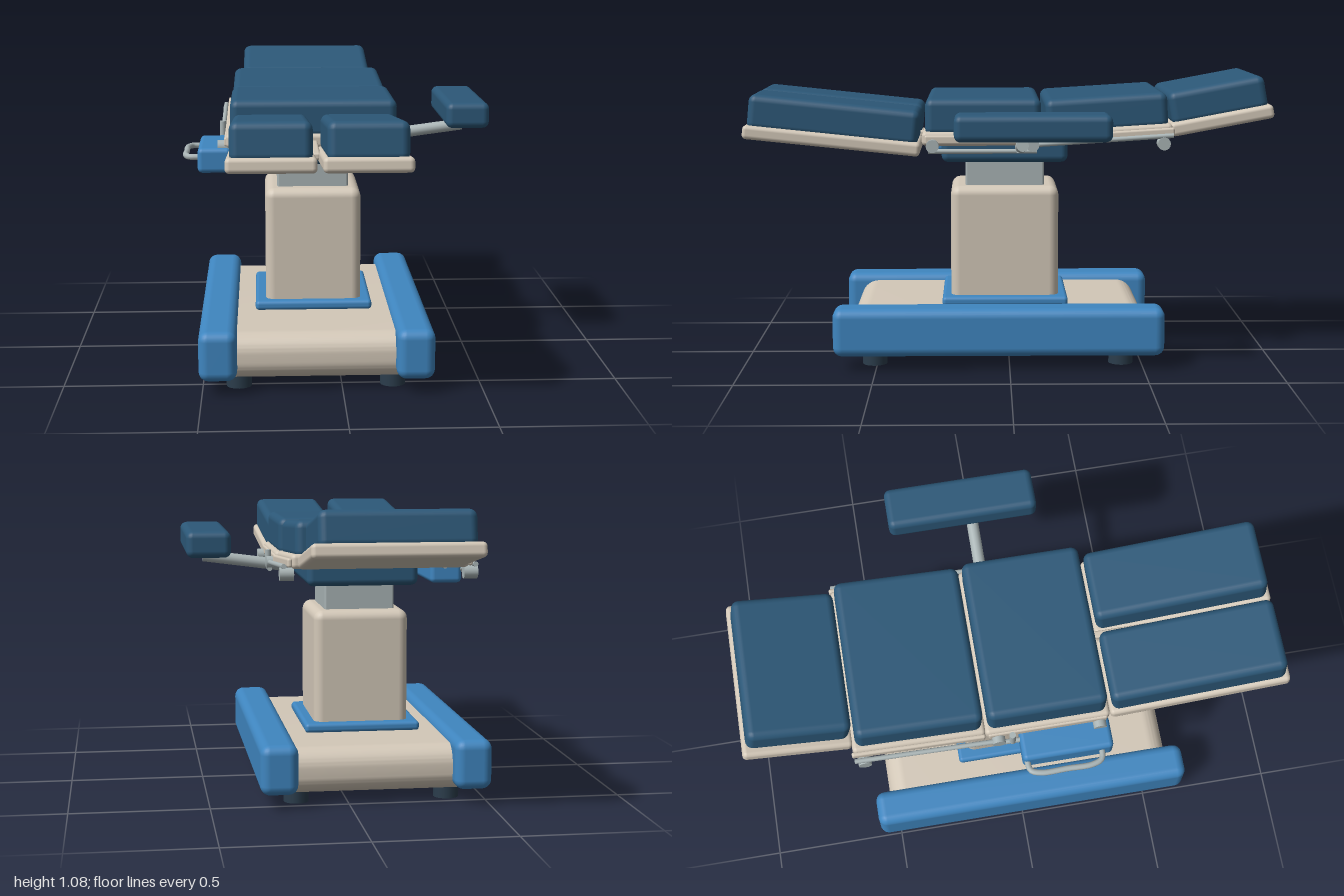
import * as THREE from 'three';
import { RoundedBoxGeometry } from 'three/addons/geometries/RoundedBoxGeometry.js';
import { toCreasedNormals } from 'three/addons/utils/BufferGeometryUtils.js';

const mat = (name, color) => new THREE.MeshStandardMaterial({ name, color });
const navy = mat('navy upholstery', 0x2c5878);
const blue = mat('blue trim', 0x3f86c0);
const cream = mat('cream panels', 0xd3c8b8);
const steel = mat('steel grey', 0xa9b4b5);
const dark = mat('dark rubber', 0x2b3d4c);

const CX = -0.093; // centre plane of the table

function add(parent, name, geometry, material) {
  const mesh = new THREE.Mesh(geometry, material);
  mesh.name = name;
  parent.add(mesh);
  return mesh;
}

// Rounded box given by its extents
function box(parent, name, material, [x0, x1], [y0, y1], [z0, z1], r = 0.02) {
  const geo = new RoundedBoxGeometry(x1 - x0, y1 - y0, z1 - z0, 3, r);
  const mesh = add(parent, name, geo, material);
  mesh.position.set((x0 + x1) / 2, (y0 + y1) / 2, (z0 + z1) / 2);
  return mesh;
}

// Straight round bar between two points
function rod(parent, name, material, a, b, r) {
  const from = new THREE.Vector3(...a), to = new THREE.Vector3(...b);
  const dir = to.clone().sub(from);
  const mesh = add(parent, name, new THREE.CylinderGeometry(r, r, dir.length(), 16), material);
  mesh.position.copy(from).add(to).multiplyScalar(0.5);
  mesh.quaternion.setFromUnitVectors(new THREE.Vector3(0, 1, 0), dir.normalize());
  return mesh;
}

// Padded section: cream tray with a cushion, its underside running from (za, ya) to (zb, yb)
function section(parent, name, [x0, x1], [za, ya], [zb, yb], inset, height = 0.168) {
  const group = new THREE.Group();
  group.name = name;
  group.position.set((x0 + x1) / 2, (ya + yb) / 2, (za + zb) / 2);
  group.rotation.x = -Math.atan2(yb - ya, zb - za);
  const w = (x1 - x0) / 2, l = Math.hypot(zb - za, yb - ya) / 2;
  box(group, 'tray', cream, [-w, w], [0, 0.052], [-l, l], 0.016);
  box(group, 'cushion', navy, [inset - w, w - inset], [0.035, height], [0.012 - l, l - 0.012], 0.028);
  parent.add(group);
}

export function createModel() {
  const model = new THREE.Group();
  model.name = 'operatingTable';

  // Base: body with rounded ends between two side rails
  const z0 = -0.52, z1 = 0.6, y0 = 0.04, y1 = 0.207, r = 0.07;
  const profile = new THREE.Shape();
  profile.absarc(z1 - r, y0 + r, r, -Math.PI / 2, 0);
  profile.absarc(z1 - r, y1 - r, r, 0, Math.PI / 2);
  profile.absarc(z0 + r, y1 - r, r, Math.PI / 2, Math.PI);
  profile.absarc(z0 + r, y0 + r, r, Math.PI, Math.PI * 1.5);
  const body = new THREE.ExtrudeGeometry(profile, { depth: 0.62, bevelEnabled: false, curveSegments: 8 });
  body.translate(0, 0, -0.31);
  body.rotateY(-Math.PI / 2);
  add(model, 'baseBody', toCreasedNormals(body, 0.6), cream).position.x = CX;
  for (const side of [-1, 1]) {
    const x = CX + side * 0.35;
    box(model, 'baseRail', blue, [x - 0.068, x + 0.068], [0.053, 0.235], [-0.577, 0.659], 0.035);
    for (const z of [-0.423, 0.51]) {
      rod(model, 'caster', dark, [CX + side * 0.277, 0, z], [CX + side * 0.277, 0.06, z], 0.046);
    }
  }

  // Lifting column
  box(model, 'columnSkirt', blue, [-0.31, 0.125], [0.205, 0.241], [-0.225, 0.255], 0.014);
  box(model, 'columnCover', cream, [-0.271, 0.086], [0.18, 0.662], [-0.19, 0.222], 0.035);
  box(model, 'columnShaft', steel, [-0.225, 0.04], [0.6, 0.8], [-0.135, 0.165], 0.008);
  box(model, 'columnHead', navy, [-0.302, 0.116], [0.757, 0.85], [-0.222, 0.255], 0.025);

  // Padded sections, foot to head
  section(model, 'leftLeg', [-0.084, 0.212], [0.335, 0.789], [0.993, 0.858], 0.014);
  section(model, 'rightLeg', [-0.4, -0.102], [0.335, 0.789], [0.993, 0.858], 0.014);
  section(model, 'seat', [-0.412, 0.227], [-0.13, 0.832], [0.325, 0.832], 0.016, 0.174);
  section(model, 'back', [-0.408, 0.218], [-0.608, 0.862], [-0.13, 0.832], 0.016);
  section(model, 'head', [-0.382, 0.196], [-0.99, 0.932], [-0.608, 0.86], 0.026, 0.163);
  box(model, 'legHinge', cream, [-0.107, -0.079], [0.835, 0.86], [0.3, 0.6], 0.008);

  // Accessory rails on both sides with rounded clamps
  for (const side of [-1, 1]) {
    const x = CX + side * 0.337, inner = CX + side * 0.3;
    rod(model, 'seatRail', steel, [x, 0.815, -0.1], [x, 0.815, 0.3], 0.009);
    rod(model, 'backRail', steel, [x, 0.838, -0.08], [x, 0.872, -0.605], 0.009);
    box(model, 'sideStrip', cream, side > 0 ? [0.21, 0.232] : [-0.418, -0.396],
      [0.838, 0.872], [-0.12, 0.315], 0.008);
    const strip = box(model, 'backStrip', cream, [x - side * 0.02 - 0.009, x - side * 0.02 + 0.009],
      [0.853, 0.885], [-0.612, -0.13], 0.008);
    strip.rotation.x = 0.063;
    for (const [y, z] of [[0.834, 0.285], [0.838, -0.085], [0.842, -0.57]]) {
      rod(model, 'railClamp', steel, [inner, y, z], [x + side * 0.012, y, z], 0.024);
    }
    rod(model, 'clampPost', steel, [x, 0.81, -0.035], [x, 0.882, -0.035], 0.012);
  }

  // Armrest on the left
  rod(model, 'armrestBar', steel, [0.18, 0.822, -0.042], [0.49, 0.863, -0.042], 0.022);
  box(model, 'armrestPad', navy, [0.405, 0.566], [0.88, 0.976], [-0.356, 0.2], 0.025);

  // Control box with a grab handle on the right
  box(model, 'controlBox', blue, [-0.515, -0.392], [0.741, 0.833], [-0.01, 0.322], 0.018);
  const handle = new THREE.CatmullRomCurve3([
    [-0.505, 0.005], [-0.545, 0.012], [-0.56, 0.05], [-0.56, 0.145],
    [-0.56, 0.235], [-0.545, 0.272], [-0.505, 0.28],
  ].map(([x, z]) => new THREE.Vector3(x, 0.795, z)));
  add(model, 'grabHandle', new THREE.TubeGeometry(handle, 32, 0.011, 10), steel);

  return model;
}
